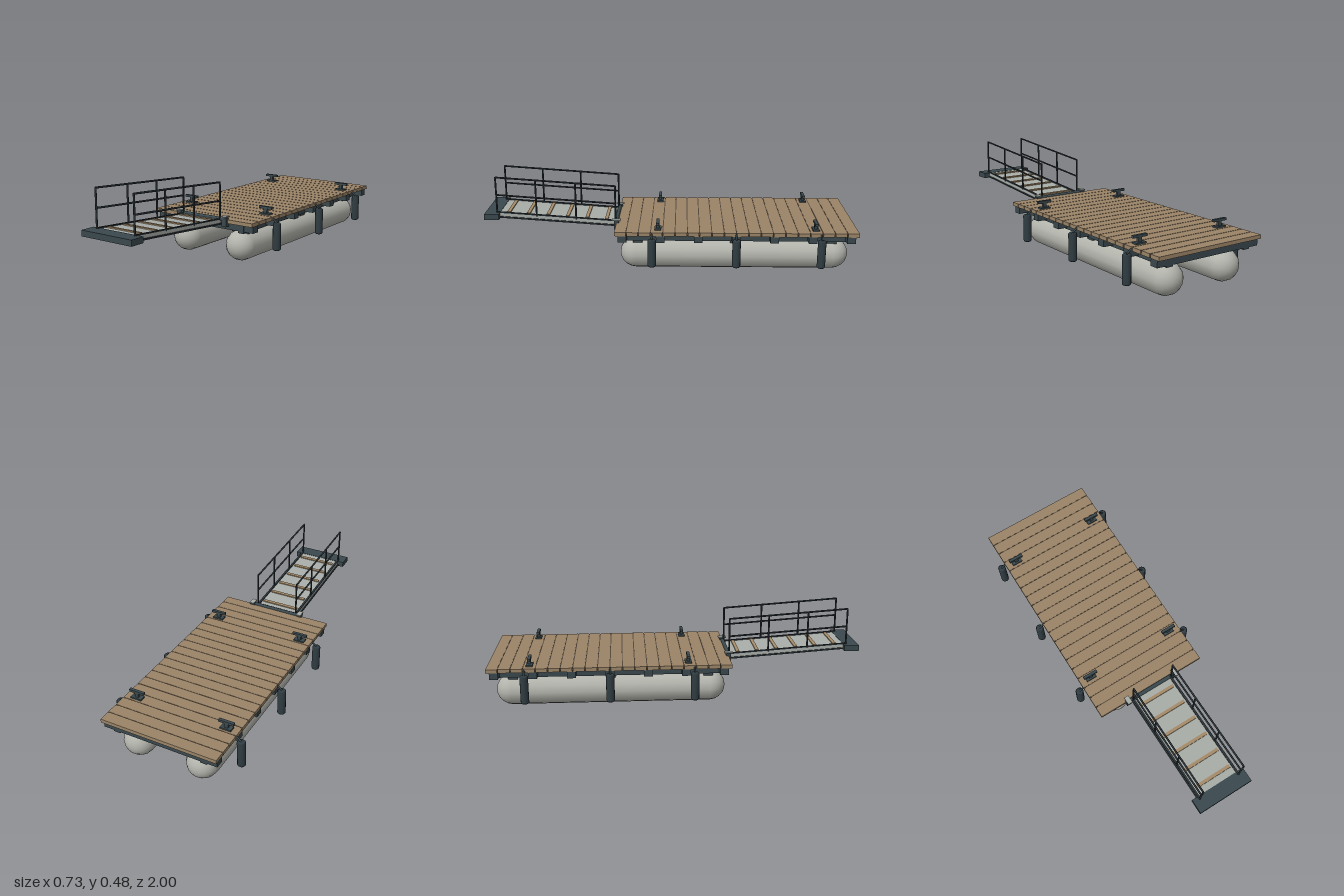
import * as THREE from 'three';

const mat = (name, color) => {
  const m = new THREE.MeshStandardMaterial({ color });
  m.name = name;
  return m;
};

export function createModel() {
  const wood = mat('deck wood', 0x9b8468);
  const groove = mat('dark groove', 0x54473a);
  const slatWood = mat('tread wood', 0xa68c69);
  const steel = mat('dark steel', 0x3a484d);
  const railPaint = mat('rail steel', 0x2b3337);
  const rubber = mat('fender rubber', 0x303d43);
  const float = mat('float grey', 0xb3b4ac);
  const panel = mat('gangway grey', 0xa9aea9);

  const model = new THREE.Group();
  const add = (name, geo, material, x, y, z, parent = model) => {
    const m = new THREE.Mesh(geo, material);
    m.name = name;
    m.position.set(x, y, z);
    parent.add(m);
    return m;
  };
  const box = (name, material, w, h, d, x, y, z, parent) =>
    add(name, new THREE.BoxGeometry(w, h, d), material, x, y, z, parent);
  // Round bar between two points
  const bar = (name, material, r, a, b, parent = model) => {
    const p = new THREE.Vector3(...a), q = new THREE.Vector3(...b);
    const m = add(name, new THREE.CylinderGeometry(r, r, p.distanceTo(q), 8), material, 0, 0, 0, parent);
    m.position.copy(p).lerp(q, 0.5);
    m.quaternion.setFromUnitVectors(new THREE.Vector3(0, 1, 0), q.sub(p).normalize());
    return m;
  };

  // Deck planks with dark joints
  const planks = 20, pitch = 1.285 / planks;
  for (let i = 0; i < planks; i++) {
    const z = -1 + (i + 0.5) * pitch;
    box('deckPlank', wood, 0.64, 0.02, pitch - 0.005, 0, 0.228, z);
    if (i) box('plankJoint', groove, 0.62, 0.016, 0.005, 0, 0.2285, z - pitch / 2);
  }

  // Cross beams under the deck
  for (let i = 0; i < 7; i++) {
    box('crossBeam', steel, 0.63, 0.037, 0.045, 0, 0.1995, 0.242 - i * 0.2);
  }

  for (const s of [-1, 1]) {
    // Lengthwise beam
    box('stringer', steel, 0.037, 0.045, 1.25, s * 0.241, 0.1955, -0.355);

    // Pontoon and its saddles
    const pontoon = add('pontoon', new THREE.CapsuleGeometry(0.085, 1.055, 5, 14), float, s * 0.18, 0.084, -0.3525);
    pontoon.rotation.x = Math.PI / 2;
    for (const z of [0.165, -0.355, -0.87]) {
      box('saddle', steel, 0.107, 0.03, 0.05, s * 0.182, 0.168, z);
    }

    // Fenders hung on straps
    const profile = [[0, -0.075], [0.017, -0.075], [0.022, -0.069], [0.022, 0.069], [0.017, 0.075], [0, 0.075]]
      .map(([x, y]) => new THREE.Vector2(x, y));
    for (const z of [0.085, -0.357, -0.8]) {
      add('fender', new THREE.LatheGeometry(profile, 12), rubber, s * 0.344, 0.134, z);
      bar('fenderStrap', steel, 0.005, [s * 0.344, 0.207, z], [s * 0.315, 0.231, z]);
    }

    // Mooring cleats
    for (const z of [0.055, -0.777]) {
      const cleat = new THREE.Group();
      cleat.name = 'cleat';
      cleat.position.set(s * 0.254, 0.238, z);
      model.add(cleat);
      box('cleatBase', steel, 0.06, 0.008, 0.035, 0, 0.004, 0, cleat);
      box('cleatPost', steel, 0.02, 0.026, 0.016, 0, 0.02, 0, cleat);
      box('cleatHorn', steel, 0.083, 0.013, 0.016, 0, 0.037, 0, cleat);
    }

    // Hinge brackets between deck and gangway
    box('hingeBracket', steel, 0.029, 0.052, 0.026, s * 0.15, 0.226, 0.283);
    box('hingePlate', panel, 0.026, 0.006, 0.045, s * 0.15, 0.253, 0.283);
  }
  bar('hingePin', steel, 0.011, [-0.165, 0.238, 0.285], [0.165, 0.238, 0.285]);

  // Sloping gangway walkway
  const slope = 0.07, z0 = 0.29, z1 = 0.935;
  const height = (z) => 0.235 + (z - z0) * slope;
  const walkway = new THREE.Group();
  walkway.name = 'walkway';
  walkway.position.set(0, height(0.61), 0.61);
  walkway.rotation.x = -Math.atan(slope);
  model.add(walkway);
  box('walkwayPanel', panel, 0.25, 0.018, 0.65, 0, -0.009, 0, walkway);
  for (let i = 0; i < 6; i++) {
    box('tread', slatWood, 0.212, 0.006, 0.018, 0, 0.003, 0.34 + i * 0.107 - 0.61, walkway);
  }
  for (const s of [-1, 1]) {
    box('walkwayEdge', railPaint, 0.02, 0.008, 0.65, s * 0.121, -0.022, 0, walkway);
    box('walkwayCurb', railPaint, 0.012, 0.006, 0.65, s * 0.121, 0.003, 0, walkway);

    // Railings with upright posts
    const x = s * 0.122;
    for (let i = 0; i < 4; i++) {
      const z = z0 + (z1 - z0) * i / 3;
      bar('railPost', railPaint, 0.005, [x, height(z) - 0.005, z], [x, height(z) + 0.2, z]);
    }
    for (const h of [0.1, 0.198]) {
      bar('handrail', railPaint, 0.005, [x, height(z0) + h, z0], [x, height(z1) + h, z1]);
    }
  }

  // Shore landing at the high end
  box('landing', steel, 0.32, 0.031, 0.08, 0, 0.2655, 0.96);

  return model;
}
